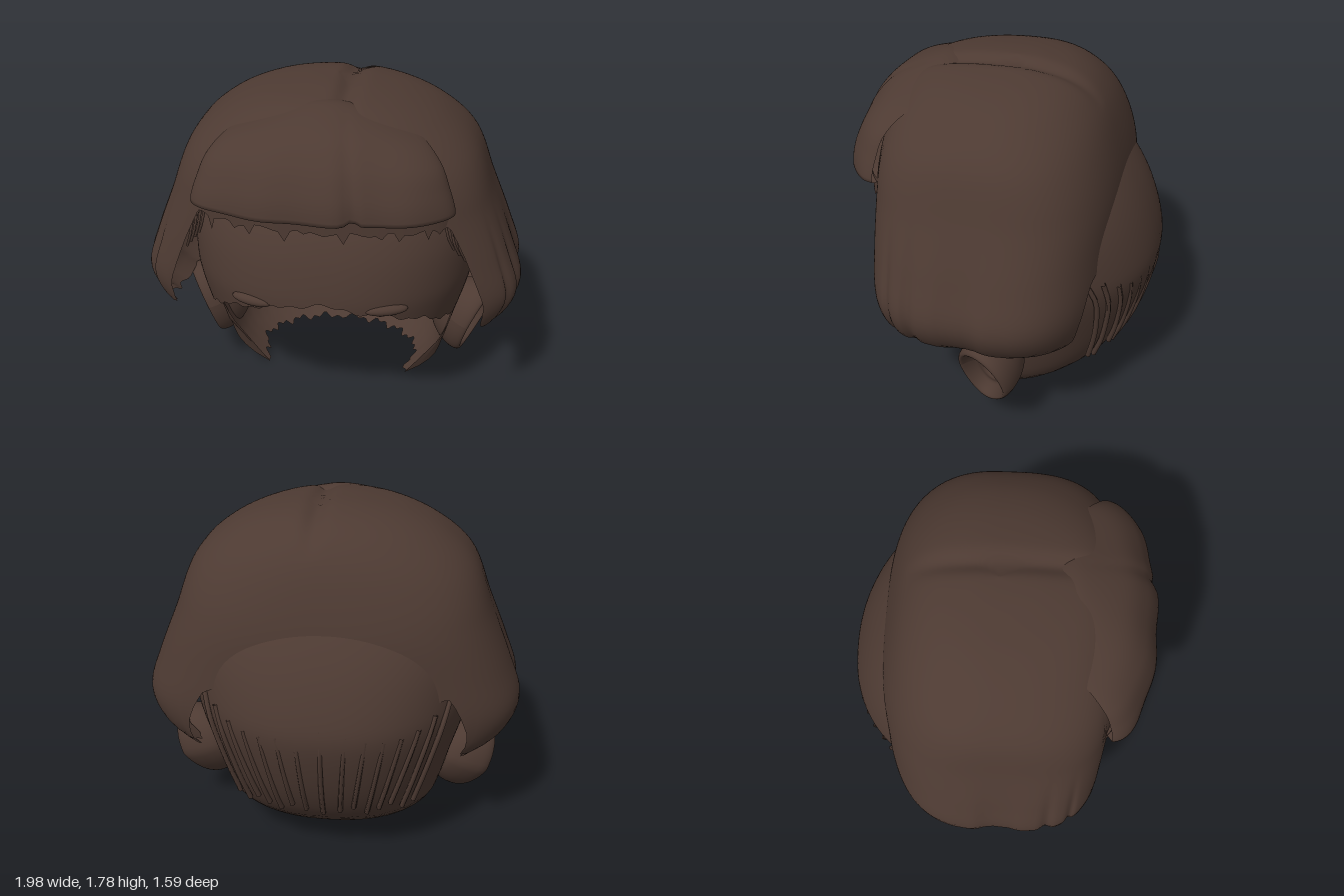
import * as THREE from 'three';
import { mergeVertices } from 'three/addons/utils/BufferGeometryUtils.js';

const RAD = Math.PI / 180;
const { lerp, clamp, smoothstep } = THREE.MathUtils;
const material = new THREE.MeshStandardMaterial({ color: 0x4d3a32, side: THREE.DoubleSide });

// Piecewise linear lookup: rows are [key, value, value, ...] with rising keys
function lookup(rows, key) {
  let i = 1;
  while (i < rows.length - 1 && rows[i][0] < key) i++;
  const a = rows[i - 1], b = rows[i];
  const t = clamp((key - a[0]) / (b[0] - a[0]), 0, 1);
  return a.slice(1).map((v, k) => lerp(v, b[k + 1], t));
}

// Smooths a coarse table of rows with a spline
function smoothRows(rows) {
  return Array.from({ length: 101 }, (_, s) => {
    const f = (s / 100) * (rows.length - 1), i = Math.min(Math.floor(f), rows.length - 2), t = f - i;
    const at = (k) => rows[clamp(k, 0, rows.length - 1)];
    return rows[i].map((b, c) => {
      const a = at(i - 1)[c], d = at(i + 1)[c], e = at(i + 2)[c];
      return b + 0.5 * t * (d - a + t * (2 * a - 5 * b + 4 * d - e + t * (3 * (b - d) + e - a)));
    });
  });
}

// Surface from fn(u, v) -> [x, y, z]; u runs to the model's left, v runs down
function surface(nu, nv, fn) {
  const pos = [], idx = [];
  for (let i = 0; i <= nu; i++) for (let j = 0; j <= nv; j++) pos.push(...fn(i / nu, j / nv));
  for (let i = 0; i < nu; i++) for (let j = 0; j < nv; j++) {
    const a = i * (nv + 1) + j, b = a + nv + 1;
    idx.push(a, a + 1, b, a + 1, b + 1, b);
  }
  const g = new THREE.BufferGeometry();
  g.setAttribute('position', new THREE.Float32BufferAttribute(pos, 3));
  g.setIndex(idx);
  const welded = mergeVertices(g, 1e-4);
  welded.computeVertexNormals();
  return welded;
}

// Point on a superellipse; angle 0 faces +z
function ring(angle, n, halfWidth, front, back) {
  const s = Math.sin(angle), c = Math.cos(angle), p = 2 / n;
  return [Math.sign(s) * Math.abs(s) ** p * halfWidth, Math.sign(c) * Math.abs(c) ** p * (c > 0 ? front : back)];
}

const ragged = (a) => Math.sin(a * 19) * 0.5 + Math.sin(a * 43 + 1) * 0.5;

// Height, half width, front depth, back depth
const SKULL_N = 2.25;
const skullRows = smoothRows([
  [0, 0.36, 0.52, 0.24], [0.08, 0.48, 0.56, 0.37], [0.18, 0.57, 0.6, 0.5], [0.3, 0.61, 0.64, 0.62],
  [0.5, 0.66, 0.69, 0.72], [0.75, 0.73, 0.73, 0.785], [0.9, 0.75, 0.735, 0.775], [1.1, 0.74, 0.69, 0.7],
  [1.27, 0.67, 0.6, 0.585], [1.45, 0.48, 0.42, 0.4], [1.56, 0.26, 0.24, 0.22], [1.6, 0, 0, 0],
]);
const hairRows = smoothRows([
  [0.48, 0.72, 0.5, 0.52], [0.56, 0.83, 0.55, 0.57], [0.65, 0.94, 0.57, 0.59], [0.8, 0.995, 0.59, 0.6],
  [1.0, 0.93, 0.6, 0.6], [1.25, 0.825, 0.6, 0.585], [1.5, 0.725, 0.59, 0.51], [1.65, 0.57, 0.55, 0.42],
  [1.74, 0.38, 0.44, 0.3], [1.785, 0.16, 0.22, 0.14], [1.795, 0, 0, 0],
]);
// Angle from the front in degrees, height of the lower edge
const skullEdge = [[0, 0.87], [20, 0.81], [40, 0.74], [55, 0.66], [80, 0.55], [82.5, 0.02], [95, 0.04], [106, 0.07], [180, 0.08]];
const hairEdge = [[0, 1.25], [34, 1.24], [37, 1.12], [40, 0.85], [44, 0.68], [50, 0.63], [60, 0.62], [85, 0.58], [95, 0.55],
  [110, 0.5], [125, 0.53], [138, 0.62], [144, 0.78], [148, 0.93], [180, 1.0]];

function skullPoint(u, v) {
  const angle = (u * 2 - 1) * Math.PI;
  const edge = lookup(skullEdge, Math.abs(angle) / RAD)[0] + 0.015 * ragged(angle);
  const y = 1.6 - (1.6 - Math.max(edge, 0)) * v ** 1.7;
  const [x, z] = ring(angle, SKULL_N, ...lookup(skullRows, y));
  return [x, y, z];
}

function hairPoint(u, v) {
  const angle = (u * 2 - 1) * Math.PI, deg = Math.abs(angle) / RAD;
  const edge = lookup(hairEdge, deg)[0] + 0.014 * ragged(angle);
  let y = 1.795 - (1.795 - edge) * v ** 2;
  // Vertical grooves divide the lower locks
  const low = smoothstep(1.3 - y, 0, 0.5);
  const groove = [62, 76, 90].reduce((s, g) => s + Math.exp(-(((deg - g) / 2.6) ** 2)), 0);
  const n = lerp(deg < 90 ? 3.7 : 2.9, 2.2, smoothstep(y, 1.3, 1.75));
  let [x, z] = ring(angle, n, ...lookup(hairRows, y));
  x *= 1 - 0.022 * low * groove;
  // Parting along the crown
  if (y > 1.6) y -= 0.03 * Math.exp(-(((x - 0.08) / 0.05) ** 2)) * (y - 1.6) / 0.19;
  return [x, y, z];
}

// Fringe rows from crown to underside: key, height, half width, centre z, side z
const fringeRows = smoothRows([
  [0, 1.74, 0.16, 0.24, 0.12], [0.15, 1.765, 0.28, 0.38, 0.22], [0.4, 1.69, 0.45, 0.59, 0.4], [0.6, 1.58, 0.55, 0.705, 0.5],
  [0.78, 1.45, 0.6, 0.77, 0.54], [0.9, 1.345, 0.63, 0.79, 0.555], [0.95, 1.315, 0.62, 0.77, 0.55], [1, 1.33, 0.56, 0.6, 0.5],
]);
function fringePoint(u, v) {
  const angle = (u - 0.5) * Math.PI;
  const [y, w, mid, side] = lookup(fringeRows, v);
  const x = w * Math.sin(angle);
  const split = Math.exp(-(((x - 0.08 - 0.1 * v) / 0.03) ** 2));
  const lock = 0.008 * Math.sin(x * 18) * v;
  const droop = 0.09 * Math.sin(angle) ** 2 * (1 - v);
  return [x, y - droop + 0.025 * split * v ** 4, side + (mid - side) * Math.cos(angle) + lock - 0.025 * split * v];
}

function tube(points, radius) {
  const curve = new THREE.CatmullRomCurve3(points.map((p) => new THREE.Vector3(...p)));
  return new THREE.TubeGeometry(curve, 12, radius, 5);
}

export function createModel() {
  const model = new THREE.Group();
  const add = (name, geometry, parent = model) => {
    const mesh = new THREE.Mesh(geometry, material);
    mesh.name = name;
    parent.add(mesh);
  };

  add('skull', surface(200, 48, skullPoint));
  add('hairCap', surface(240, 56, hairPoint));
  add('fringe', surface(72, 40, fringePoint));

  // Thin layer of hair ends under the fringe, with a few longer points
  add('fringeTips', surface(64, 3, (u, v) => {
    const a = (u - 0.5) * Math.PI, i = Math.round(u * 64);
    const tip = 1.235 + 0.01 * Math.sin(i * 0.9) - (i % 3 === 0 ? 0.06 * Math.abs(Math.sin(i * 1.7)) ** 3 : 0);
    return [0.64 * Math.sin(a), lerp(1.34, tip, v), 0.46 + 0.23 * Math.cos(a)];
  }));

  // Ear profile turned around its axis: rounded back, rim, hollow
  const earProfile = new THREE.SplineCurve([
    [0.4, -0.17], [0.68, -0.13], [0.9, -0.06], [1, 0.02], [0.96, 0.07], [0.84, 0.08],
    [0.72, 0.045], [0.58, 0.015], [0.42, 0.01], [0.25, -0.03], [0.001, -0.045],
  ].map((p) => new THREE.Vector2(...p))).getPoints(40);

  for (const side of [1, -1]) {
    const label = side > 0 ? 'left' : 'right';

    const ear = new THREE.LatheGeometry(earProfile, 40);
    ear.rotateZ(-Math.PI / 2).scale(1, 0.225, 0.165);
    // Narrow lobe at the bottom
    const p = ear.attributes.position;
    for (let i = 0; i < p.count; i++) if (p.getY(i) < 0) p.setZ(i, p.getZ(i) * (1 + p.getY(i) * 1.2) - p.getY(i) * 0.1);
    ear.rotateY(-0.4).rotateZ(-0.36).translate(0.725, 0.38, -0.07);
    if (side < 0) {
      ear.scale(-1, 1, 1);
      const ix = ear.index.array;
      for (let i = 0; i < ix.length; i += 3) [ix[i], ix[i + 1]] = [ix[i + 1], ix[i]];
    }
    ear.computeVertexNormals();
    add(label + 'Ear', ear);

    // Brow ridge on the lower edge of the forehead
    const brow = new THREE.SphereGeometry(1, 20, 12);
    brow.scale(0.11, 0.03, 0.035).rotateY(side * 0.3).translate(side * 0.33, 0.835, 0.67);
    add(label + 'Brow', brow);

    // Wisps at the temple
    for (let i = 0; i < 4; i++) {
      const x = 0.585 + i * 0.03, y = 1.25 - i * 0.04, z = 0.5 - i * 0.02;
      add(label + 'TempleWisp', tube([
        [side * x, y, z], [side * (x + 0.02), y - 0.09, z], [side * (x + 0.05), y - 0.17, z - 0.03],
      ], 0.007));
    }
  }

  // Loose strands that sink into the skull at the top and emerge towards the nape
  const strands = new THREE.Group();
  strands.name = 'napeStrands';
  model.add(strands);
  for (let i = -7; i <= 7; i++) {
    const k = Math.abs(i) / 7, topX = Math.sign(i) * 0.62 * k ** 0.85;
    const topY = 0.87 - 0.07 * Math.sin(k * Math.PI) + 0.08 * k ** 4, endY = 0.31 + 0.03 * (Math.abs(i) % 3);
    const points = [0, 0.25, 0.5, 0.75, 1].map((t) => {
      const y = lerp(topY, endY, t), x = topX * (1 - 0.27 * t);
      const [w, , back] = lookup(skullRows, y);
      const skin = back * Math.max(0, 1 - Math.abs(x / w) ** SKULL_N) ** (1 / SKULL_N);
      return [x, y, -skin + 0.012 * (1 - k ** 3) - 0.02 * t - 0.015 * k ** 3];
    });
    add('strand', tube(points, 0.014), strands);
  }
  return model;
}
